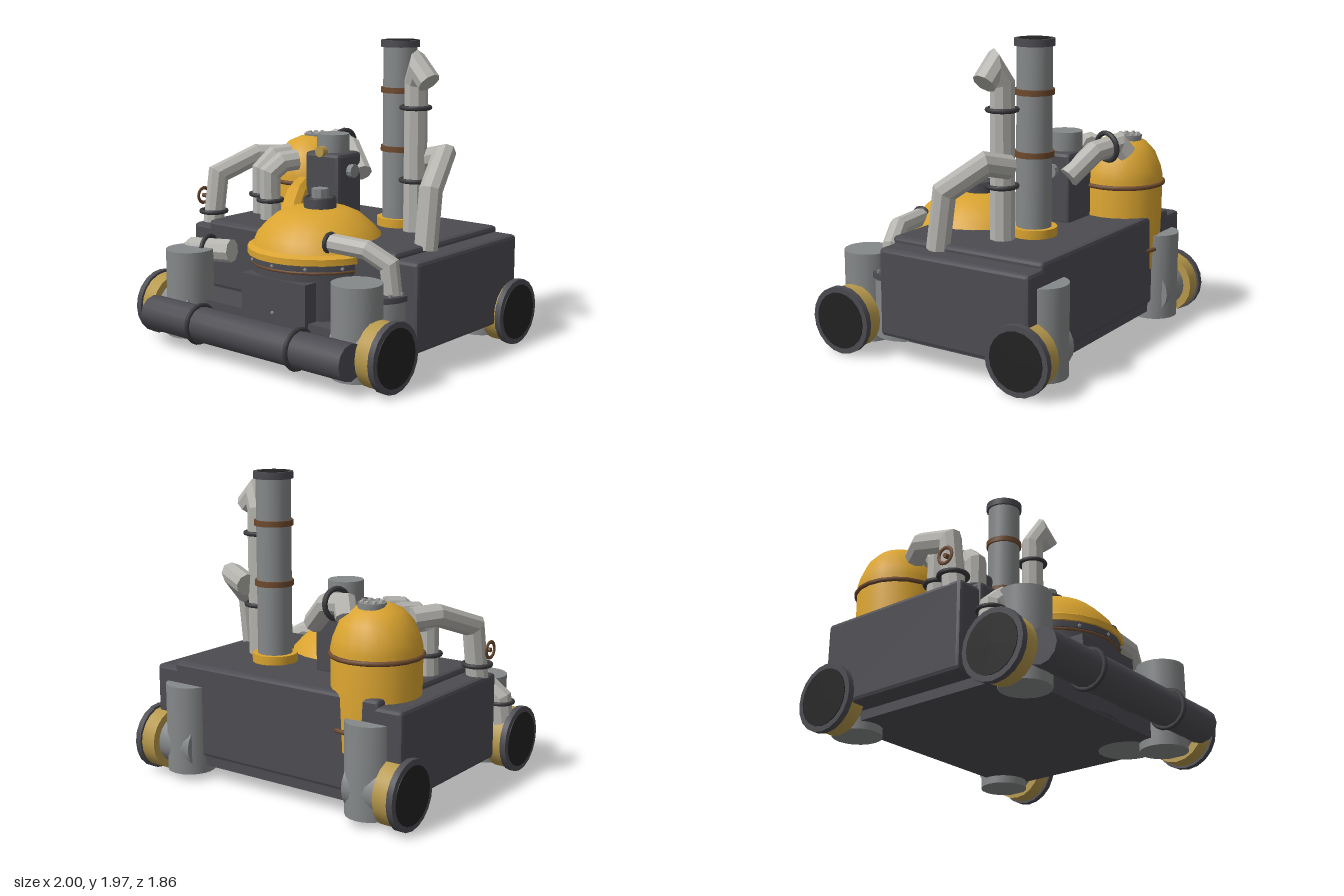
import * as THREE from 'three';
import { toCreasedNormals } from 'three/addons/utils/BufferGeometryUtils.js';
import { RoundedBoxGeometry } from 'three/addons/geometries/RoundedBoxGeometry.js';

const mat = (name, color) => {
  const m = new THREE.MeshStandardMaterial({ color });
  m.name = name;
  return m;
};

// Faceted pipe along a polyline with mitred bends and closed ends
function pipeGeometry(points, r, sides = 9) {
  const p = points.map((a) => new THREE.Vector3(...a));
  const dirs = p.slice(1).map((b, i) => b.clone().sub(p[i]).normalize());
  const u = new THREE.Vector3(0.31, 0.2, 0.93).cross(dirs[0]).normalize();
  const v = dirs[0].clone().cross(u);
  let ring = [];
  for (let i = 0; i < sides; i++) {
    const a = (i / sides) * Math.PI * 2;
    ring.push(p[0].clone().addScaledVector(u, Math.cos(a) * r).addScaledVector(v, Math.sin(a) * r));
  }
  const rings = [ring];
  for (let k = 1; k < p.length; k++) {
    const d = dirs[k - 1];
    const n = d.clone().add(dirs[k] || d).normalize();
    ring = ring.map((q) => q.clone().addScaledVector(d, p[k].clone().sub(q).dot(n) / d.dot(n)));
    rings.push(ring);
  }
  const pos = [];
  const tri = (...t) => t.forEach((q) => pos.push(q.x, q.y, q.z));
  const last = rings.length - 1;
  for (let i = 0; i < sides; i++) {
    const j = (i + 1) % sides;
    for (let k = 0; k < last; k++) {
      tri(rings[k][i], rings[k][j], rings[k + 1][j]);
      tri(rings[k][i], rings[k + 1][j], rings[k + 1][i]);
    }
    tri(p[0], rings[0][j], rings[0][i]);
    tri(p[last], rings[last][i], rings[last][j]);
  }
  const g = new THREE.BufferGeometry();
  g.setAttribute('position', new THREE.Float32BufferAttribute(pos, 3));
  g.computeVertexNormals();
  return g;
}

export function createModel() {
  const model = new THREE.Group();
  model.name = 'steamMachine';
  const dark = mat('dark iron', 0x4c4b51);
  const gold = mat('golden paint', 0xd9a32f);
  const brass = mat('dull brass', 0xb6984c);
  const steel = mat('steel', 0x858889);
  const pale = mat('pale pipe', 0xb4b3ae);
  const rust = mat('brown band', 0x6e4a2e);
  const rubber = mat('charcoal ring', 0x3a3a3d);
  const black = mat('black opening', 0x222222);

  const add = (name, geo, material, x = 0, y = 0, z = 0) => {
    const m = new THREE.Mesh(geo, material);
    m.name = name;
    m.position.set(x, y, z);
    model.add(m);
    return m;
  };
  const box = (name, material, x0, x1, y0, y1, z0, z1, bevel = 0) => {
    const s = [x1 - x0, y1 - y0, z1 - z0];
    const g = bevel ? new RoundedBoxGeometry(...s, 1, bevel) : new THREE.BoxGeometry(...s);
    return add(name, toCreasedNormals(g, 0.3), material, (x0 + x1) / 2, (y0 + y1) / 2, (z0 + z1) / 2);
  };
  const cyl = (name, material, x, y0, y1, z, r, sides = 20) =>
    add(name, toCreasedNormals(new THREE.CylinderGeometry(r, r, y1 - y0, sides), 0.6), material, x, (y0 + y1) / 2, z);
  const cylX = (name, material, x0, x1, y, z, r, sides = 20) => {
    const m = cyl(name, material, 0, 0, Math.abs(x1 - x0), 0, r, sides);
    m.rotation.z = -Math.PI / 2;
    m.position.set((x0 + x1) / 2, y, z);
    return m;
  };
  const lathe = (name, material, pts, x, z, sides = 20) =>
    add(name, toCreasedNormals(new THREE.LatheGeometry(pts.map((a) => new THREE.Vector2(...a)), sides), 0.5), material, x, 0, z);
  // Ring whose axis follows dir
  const ring = (name, material, at, dir, r, t = 0.015) => {
    const m = add(name, new THREE.TorusGeometry(r, t, 8, 20), material, ...at);
    m.quaternion.setFromUnitVectors(new THREE.Vector3(0, 0, 1), new THREE.Vector3(...dir).normalize());
    return m;
  };
  const pipe = (name, pts, r = 0.07, material = pale) => add(name, pipeGeometry(pts, r), material);
  const up = [0, 1, 0], side = [1, 0, 0];

  // Hull
  box('hull', dark, -0.95, 0.94, 0.16, 0.72, -0.77, 0.31, 0.025);
  box('upperHull', dark, -0.79, 0.79, 0.3, 0.76, -0.77, 0.325, 0.025);
  box('basePlate', dark, -0.8, 0.8, 0.1, 0.3, -0.75, 0.59);

  // Corner posts and round side ports
  for (const s of [-1, 1]) {
    for (const z of [-0.72, 0.585]) {
      cyl('cornerPost', steel, s * 0.705, 0.05, 0.62, z, 0.155);
      cylX('portNeck', steel, s * 0.6, s * 0.86, 0.22, z, 0.15);
      cylX('portCollar', brass, s * 0.85, s * 0.96, 0.22, z, 0.2);
      cylX('portFlange', dark, s * 0.955, s * 0.995, 0.22, z, 0.215);
      cylX('portOpening', black, s * 0.99, s * 1.0, 0.22, z, 0.18);
    }
  }

  // Front tube
  cylX('frontTube', dark, -0.835, 0.83, 0.21, 0.79, 0.113, 12);
  for (const x of [-0.4, 0.43]) ring('tubeRing', rubber, [x, 0.21, 0.79], side, 0.12);

  // Main boiler
  const bx = 0.065, bz = 0.185;
  cyl('boilerDrum', dark, bx, 0.11, 0.61, bz, 0.43, 24);
  ring('boilerBand', rust, [bx, 0.6, bz], up, 0.43, 0.01);
  ring('boilerLowerBand', rust, [bx, 0.25, bz], up, 0.43, 0.01);
  cyl('boltBand', dark, bx, 0.61, 0.65, bz, 0.44, 24);
  for (let i = 0; i < 12; i++) {
    const a = (i / 12) * Math.PI * 2;
    for (const y of [0.625, 0.33])
      add('boilerBolt', new THREE.SphereGeometry(0.013, 6, 4), steel, bx + Math.sin(a) * 0.438, y, bz + Math.cos(a) * 0.438);
  }
  box('boilerPanel', dark, -0.2, 0.33, 0.2, 0.545, 0.5, 0.62);
  lathe('boilerDome', gold, [[0, 0.65], [0.455, 0.65], [0.455, 0.69], [0.42, 0.71], [0.395, 0.77],
    [0.34, 0.83], [0.27, 0.89], [0.19, 0.925], [0, 0.935]], bx, bz, 24);
  cyl('domeCap', dark, bx, 0.92, 0.99, 0.17, 0.105, 16);
  ring('domeCapRing', rubber, [bx, 0.985, 0.17], up, 0.09, 0.014);
  cyl('domeValve', steel, bx, 0.99, 1.05, 0.17, 0.055, 8);

  // Rear storage tank
  const tx = -0.6, tz = -0.51;
  lathe('storageTank', gold, [[0, 0.4], [0.27, 0.4], [0.275, 1.0], [0.262, 1.06], [0.22, 1.16],
    [0.16, 1.225], [0.08, 1.26], [0, 1.265]], tx, tz);
  for (const y of [0.53, 0.96]) ring('tankBand', rust, [tx, y, tz], up, 0.277, 0.015);
  cyl('tankLid', steel, tx, 1.24, 1.275, -0.56, 0.085, 12);
  for (let i = 0; i < 8; i++) {
    const a = (i / 8) * Math.PI * 2;
    cyl('lidBolt', pale, tx + Math.cos(a) * 0.06, 1.27, 1.287, -0.56 + Math.sin(a) * 0.06, 0.013, 6);
  }

  // Chimney
  const cx = 0.275, cz = -0.38;
  cyl('chimneyBase', gold, cx, 0.75, 0.815, cz, 0.145);
  cyl('chimney', steel, cx, 0.76, 1.93, cz, 0.11);
  for (const y of [1.27, 1.65]) cyl('chimneyBand', rust, cx, y - 0.018, y + 0.018, cz, 0.123);
  cyl('chimneyCap', dark, cx, 1.925, 1.97, cz, 0.125);
  cyl('chimneyOpening', black, cx, 1.965, 1.973, cz, 0.1);

  // Valve tower
  box('tower', dark, -0.37, -0.075, 0.74, 1.21, -0.42, -0.175, 0.025);
  cyl('towerCylinder', steel, -0.225, 1.2, 1.33, -0.3, 0.11);
  const gauge = cyl('towerGauge', brass, 0, 0, 0.06, 0, 0.037, 12);
  gauge.rotation.x = Math.PI / 2;
  gauge.position.set(-0.22, 1.22, -0.18);
  cylX('towerKnob', steel, -0.08, -0.035, 1.09, -0.3, 0.045, 10);

  // Pipes beside the chimney
  pipe('exhaustPipe', [[0.475, 0.74, -0.28], [0.475, 1.71, -0.28], [0.525, 1.8, -0.25], [0.605, 1.72, -0.24]], 0.076);
  for (const y of [1.09, 1.555]) ring('exhaustRing', rubber, [0.475, y, -0.28], up, 0.09);
  pipe('rightPipe', [[0.52, 1.22, -0.36], [0.68, 1.26, -0.3], [0.76, 1.08, -0.06], [0.765, 0.72, -0.01]], 0.074);

  // Pipes on the left of the deck
  pipe('outerLeftPipe', [[-0.88, 0.68, 0.2], [-0.87, 1.04, 0.15], [-0.79, 1.15, -0.15], [-0.7, 1.14, -0.29]]);
  ring('outerLeftRing', rubber, [-0.88, 0.79, 0.19], up, 0.085);
  pipe('middleLeftPipe', [[-0.695, 0.74, -0.1], [-0.695, 1.06, -0.1], [-0.65, 1.15, -0.18], [-0.6, 1.16, -0.28]]);
  ring('middleLeftRing', rubber, [-0.695, 0.89, -0.1], up, 0.08);
  pipe('innerLeftPipe', [[-0.5, 0.74, 0.03], [-0.5, 1.07, 0.03], [-0.46, 1.14, -0.05], [-0.41, 1.15, -0.14]]);
  ring('innerLeftRing', rubber, [-0.5, 0.89, 0.03], up, 0.08);
  const wheelHandle = ring('handWheel', rust, [-0.965, 0.89, 0.2], side, 0.05, 0.012);
  wheelHandle.scale.z = 0.6;
  cylX('handWheelStem', rust, -0.97, -0.9, 0.89, 0.2, 0.015, 8);

  // Tank pipes
  pipe('tankPipe', [[-0.46, 1.17, -0.62], [-0.42, 1.24, -0.58], [-0.24, 1.21, -0.51], [-0.07, 1.06, -0.42]]);
  ring('tankPipeRing', rubber, [-0.335, 1.23, -0.545], [1, -0.1, 0.3], 0.09, 0.017);
  pipe('boilerFeed', [[-0.5, 0.95, -0.32], [-0.38, 0.92, -0.1], [-0.31, 0.84, 0.03], [-0.22, 0.76, 0.12]], 0.07, gold);

  // Front right pump and its pipe
  cyl('pumpDrum', steel, 0.67, 0.1, 0.48, 0.33, 0.185);
  cyl('pumpFlange', dark, 0.67, 0.48, 0.515, 0.33, 0.2);
  for (let i = 0; i < 12; i++) {
    const a = (i / 12) * Math.PI * 2;
    cyl('flangeBolt', steel, 0.67 + Math.cos(a) * 0.17, 0.51, 0.53, 0.33 + Math.sin(a) * 0.17, 0.013, 6);
  }
  pipe('pumpPipe', [[0.36, 0.78, 0.42], [0.63, 0.77, 0.4], [0.76, 0.69, 0.35], [0.78, 0.5, 0.34]], 0.06);
  ring('pumpPipeRing', rubber, [0.365, 0.78, 0.425], side, 0.055);

  // Front left pipe
  pipe('frontLeftPipe', [[-0.5, 0.6, 0.4], [-0.77, 0.59, 0.47], [-0.88, 0.5, 0.49], [-0.9, 0.3, 0.5]], 0.078);
  ring('frontLeftRing', rubber, [-0.67, 0.595, 0.445], [1, 0, -0.2], 0.09);
  ring('frontLeftLowerRing', rubber, [-0.89, 0.48, 0.49], up, 0.08, 0.013);
  return model;
}
